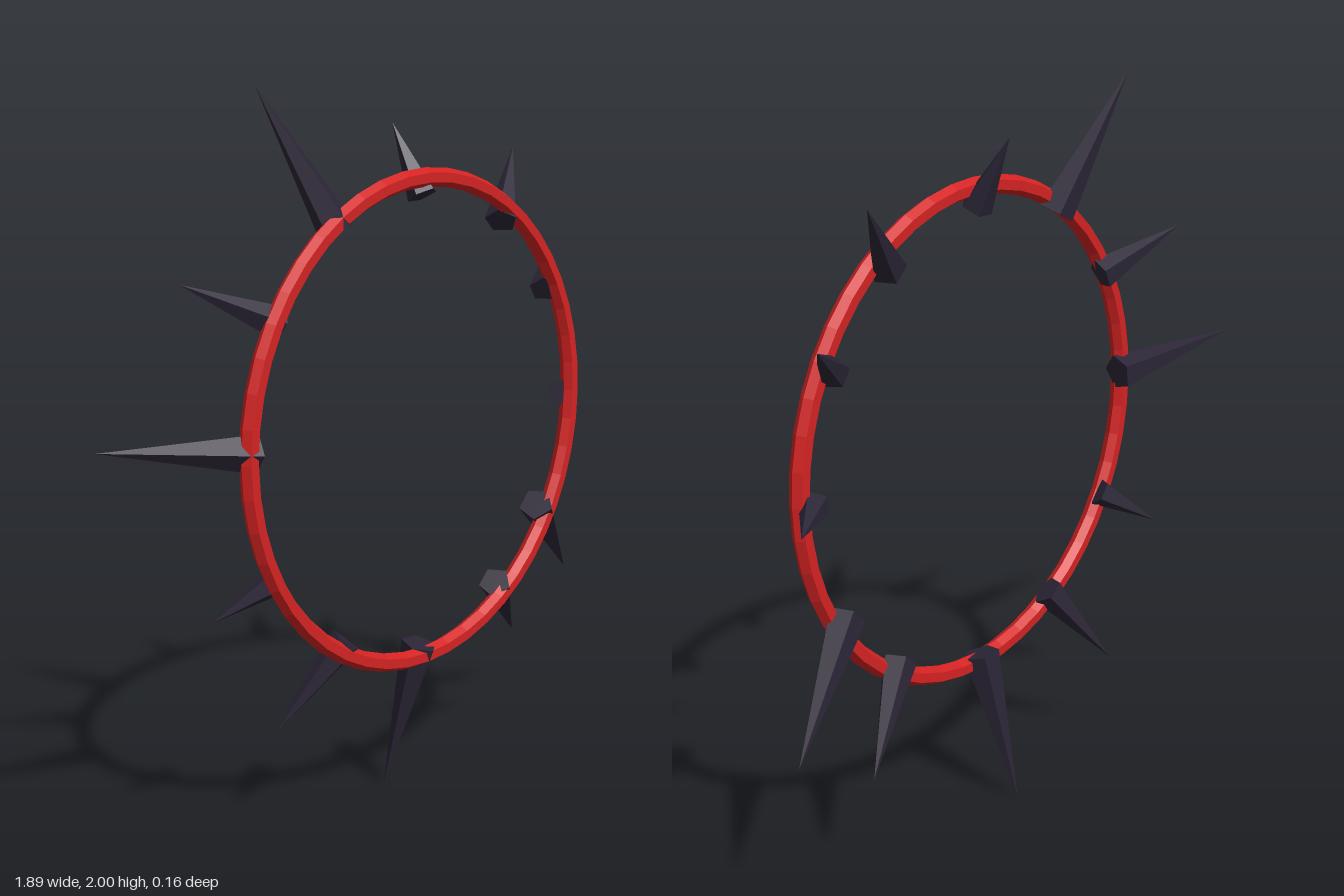
import * as THREE from 'three';

const RING = { x: 0.11, y: 1.08, z: 0.042, radius: 0.67, tube: 0.026 };
const TIP_Z = -0.08; // every spike leans back to the same depth
const BASE_Z = 0.025;

// base x, base y, tip x, tip y, base radius (clockwise from the top)
const SPIKES = [
  [0.12, 1.70, 0.115, 1.89, 0.043],
  [0.46, 1.605, 0.645, 1.80, 0.047],
  [0.665, 1.39, 0.825, 1.495, 0.042],
  [0.745, 1.073, 0.90, 1.06, 0.04],
  [0.65, 0.745, 0.94, 0.47, 0.053],
  [0.455, 0.545, 0.675, 0.325, 0.048],
  [0.115, 0.44, 0.08, 0.0, 0.053],
  [-0.19, 0.525, -0.36, 0.28, 0.047],
  [-0.44, 0.755, -0.585, 0.645, 0.042],
  [-0.525, 1.10, -0.95, 1.155, 0.053],
  [-0.43, 1.415, -0.67, 1.53, 0.047],
  [-0.215, 1.63, -0.40, 2.0, 0.053],
];

// Five-sided spike standing on its base and pointing at its tip
function makeSpike([bx, by, tx, ty, radius], material) {
  const base = new THREE.Vector3(bx, by, BASE_Z);
  const tip = new THREE.Vector3(tx, ty, TIP_Z);
  const axis = tip.clone().sub(base);
  const length = axis.length();
  axis.normalize();
  const geometry = new THREE.ConeGeometry(radius, length, 5);
  geometry.translate(0, length / 2, 0);

  const spike = new THREE.Mesh(geometry, material);
  const side = new THREE.Vector3().crossVectors(axis, new THREE.Vector3(0, 0, 1)).normalize();
  const front = new THREE.Vector3().crossVectors(side, axis);
  spike.quaternion.setFromRotationMatrix(new THREE.Matrix4().makeBasis(side, axis, front));
  spike.position.copy(base);
  spike.name = 'spike';
  return spike;
}

export function createModel() {
  const model = new THREE.Group();
  model.name = 'spikedRing';
  const red = new THREE.MeshStandardMaterial({ color: 0xd42222, flatShading: true });
  const dark = new THREE.MeshStandardMaterial({ color: 0x2b2536, flatShading: true });

  // Hoop with a six-sided section
  const ring = new THREE.Mesh(new THREE.TorusGeometry(RING.radius, RING.tube, 6, 48), red);
  ring.position.set(RING.x, RING.y, RING.z);
  ring.name = 'ring';
  model.add(ring);

  // Spikes around the hoop
  const spikes = new THREE.Group();
  spikes.name = 'spikes';
  SPIKES.forEach((s) => spikes.add(makeSpike(s, dark)));
  model.add(spikes);
  return model;
}
